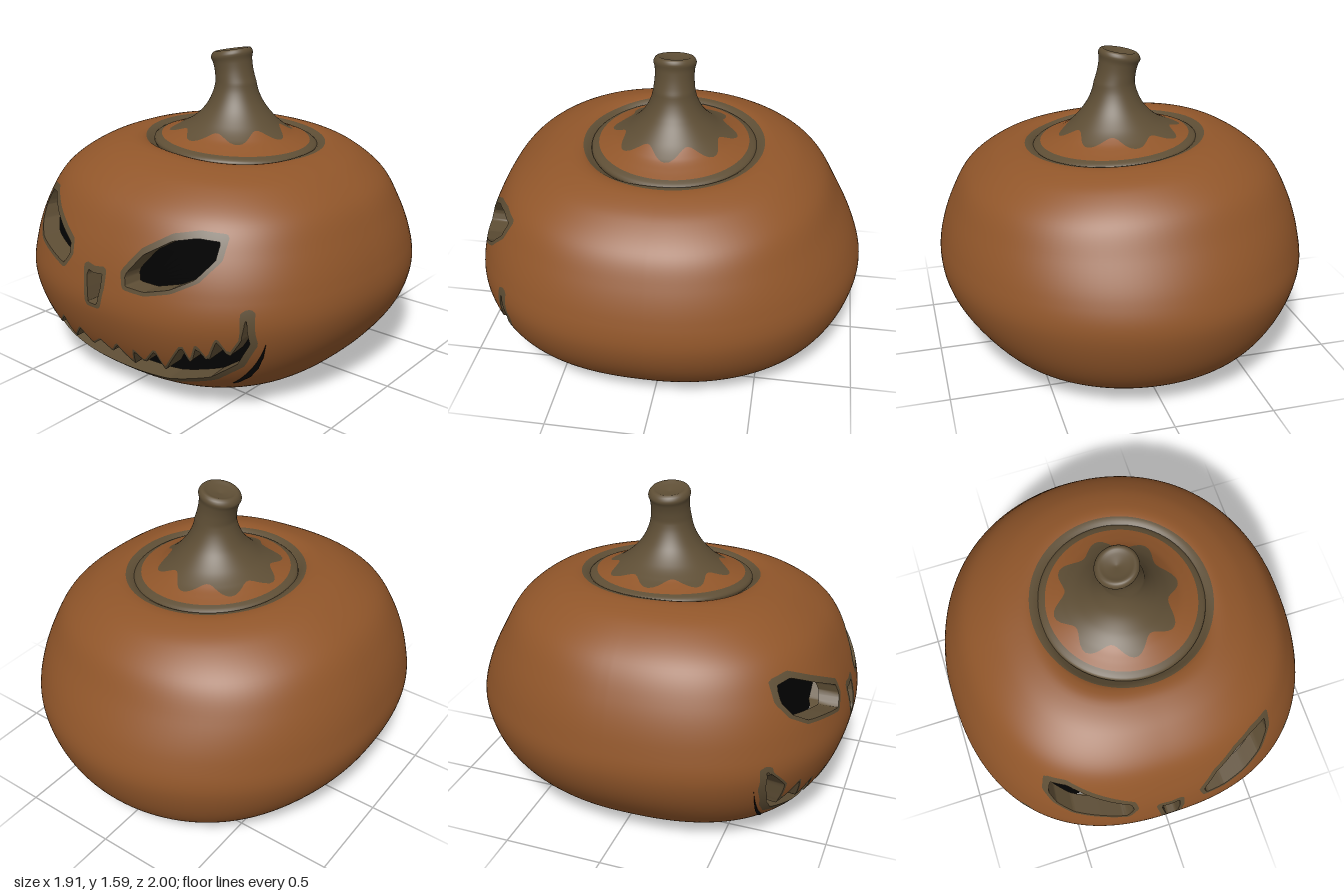
import * as THREE from 'three';
import { mergeVertices } from 'three/addons/utils/BufferGeometryUtils.js';

const material = (name, color) => {
  const m = new THREE.MeshStandardMaterial({ color });
  m.name = name;
  return m;
};

const clamp01 = v => Math.min(1, Math.max(0, v));
const bump = (y, centre, width) => Math.exp(-(((y - centre) / width) ** 2));

// Smooth lofted surface: fn(angle, row) gives a point, rows run from bottom to top
function loft(angles, rows, fn) {
  const pos = [], index = [], n = angles.length;
  for (const row of rows) for (const a of angles) pos.push(...fn(a, row));
  for (let j = 0; j < rows.length - 1; j++) {
    for (let i = 0; i < n - 1; i++) {
      const a = j * n + i, up = a + n;
      index.push(a, up, a + 1, a + 1, up, up + 1);
    }
  }
  let g = new THREE.BufferGeometry();
  g.setAttribute('position', new THREE.Float32BufferAttribute(pos, 3));
  g.setIndex(index);
  g = mergeVertices(g);
  g.computeVertexNormals();
  return g;
}

const steps = (from, to, count) =>
  Array.from({ length: count }, (_, i) => from + (to - from) * i / count);
const circle = (count) => [...steps(0, Math.PI * 2, count), Math.PI * 2];
const spline = (pts, count) =>
  new THREE.SplineCurve(pts.map(p => new THREE.Vector2(...p))).getSpacedPoints(count);

// Triangles as corner lists [x, y, z, nx, ny, nz]
function toTriangles(geometry) {
  const g = geometry.toNonIndexed(), p = g.attributes.position.array, n = g.attributes.normal.array;
  const tris = [];
  for (let i = 0; i < p.length; i += 9) {
    tris.push([0, 3, 6].map(k => [...p.slice(i + k, i + k + 3), ...n.slice(i + k, i + k + 3)]));
  }
  return tris;
}

function fromTriangles(tris) {
  const g = new THREE.BufferGeometry(), v = tris.flat();
  g.setAttribute('position', new THREE.Float32BufferAttribute(v.flatMap(c => c.slice(0, 3)), 3));
  g.setAttribute('normal', new THREE.Float32BufferAttribute(v.flatMap(c => c.slice(3)), 3));
  return g;
}

// Cut triangles along f = 0; cuts are the new edges of the outer side
function split(tris, f) {
  const outer = [], inner = [], cuts = [];
  const fan = (poly, out) => {
    for (let i = 1; i < poly.length - 1; i++) out.push([poly[0], poly[i], poly[i + 1]]);
  };
  for (const t of tris) {
    const d = t.map(f), pos = [], neg = [];
    let exit = null, enter = null;
    for (let i = 0; i < 3; i++) {
      const k = (i + 1) % 3, isOut = d[i] >= 0;
      (isOut ? pos : neg).push(t[i]);
      if (isOut !== (d[k] >= 0)) {
        const s = d[i] / (d[i] - d[k]);
        const m = t[i].map((v, c) => v + (t[k][c] - v) * s);
        pos.push(m);
        neg.push(m);
        if (isOut) exit = m; else enter = m;
      }
    }
    fan(pos, outer);
    fan(neg, inner);
    if (exit) cuts.push([exit, enter]);
  }
  return { outer, inner, cuts };
}

// Distance to a line of points; negative inside when it is closed
function distance(x, y, pts, closed) {
  let best = 9, inside = false;
  for (let i = closed ? 0 : 1; i < pts.length; i++) {
    const [ax, ay] = pts[(i + pts.length - 1) % pts.length], [bx, by] = pts[i];
    const dx = bx - ax, dy = by - ay;
    const s = clamp01(((x - ax) * dx + (y - ay) * dy) / (dx * dx + dy * dy));
    best = Math.min(best, Math.hypot(x - ax - dx * s, y - ay - dy * s));
    if ((ay > y) !== (by > y) && x < ax + (y - ay) * dx / dy) inside = !inside;
  }
  return closed && inside ? -best : best;
}

// Outlines of the carved face
const rightEye = [[-.58, .895], [-.505, .905], [-.4, .845], [-.22, .75], [-.21, .7], [-.25, .645],
  [-.38, .675], [-.505, .7], [-.575, .755], [-.6, .82]];
const leftEye = [[.165, .69], [.24, .79], [.36, .865], [.46, .885], [.55, .875], [.555, .8],
  [.5, .72], [.4, .665], [.28, .635], [.18, .64]];
const nose = [[-.07, .665], [-.02, .655], [.03, .665], [.03, .6], [.01, .51], [-.045, .51], [-.055, .58]];
const lip = [[-.735, .53], [-.725, .43], [-.67, .315], [-.61, .245], [-.455, .2], [-.275, .15], [0, .135],
  [.29, .15], [.52, .22], [.65, .315], [.715, .43], [.71, .575]];
const teeth = [[.69, .45], [.635, .36], [.605, .45], [.55, .325], [.52, .41], [.475, .3], [.455, .4],
  [.33, .23], [.315, .345], [.23, .25], [.19, .31], [.15, .21], [.085, .31], [.03, .25], [-.03, .3],
  [-.11, .245], [-.17, .32], [-.28, .215], [-.3, .34], [-.42, .24], [-.45, .35], [-.49, .25],
  [-.555, .39], [-.61, .275], [-.64, .41]];
const mouth = [...lip, ...teeth];

const isFace = (x, y, z) => z > 0.3 && y > 0.08 && y < 1;
const holeField = ([x, y, z]) => isFace(x, y, z)
  ? Math.min(...[rightEye, leftEye, nose, mouth].map(h => distance(x, y, h, true))) : 1;
const rimField = ([x, y, z]) => {
  if (y > 1) return Math.hypot(x - 0.03, z) - 0.465;
  if (!isFace(x, y, z)) return 1;
  return Math.min(...[rightEye, leftEye, nose].map(h => distance(x, y - 0.007, h, true) - 0.025),
    distance(x, y, lip, false) - 0.024, distance(x, y, mouth, true) - 0.009);
};
const starField = ([x, y, z]) => Math.hypot(x, z) - 0.29 - 0.033 * Math.cos(8 * Math.atan2(z, x));

export function createModel() {
  const group = new THREE.Group();
  const orange = material('pumpkin orange', 0x91562a);
  const brown = material('stem brown', 0x5e4e35);
  const black = material('hollow black', 0x020202);
  const add = (name, geometry, mat) => {
    const mesh = new THREE.Mesh(geometry, mat);
    mesh.name = name;
    group.add(mesh);
  };

  // Squat body: fuller at the front, sloping at the back, tucked in low at the sides
  const profile = spline([[0, .05], [.3, .018], [.5, .006], [.67, .04], [.83, .13], [.94, .28], [1, .48],
    [.98, .65], [.92, .82], [.83, .97], [.68, 1.08], [.54, 1.13], [.46, 1.13], [.42, 1.105], [.38, 1.08]], 110);
  const columns = [...steps(0, Math.PI, 200), ...steps(Math.PI, 2 * Math.PI, 60), 2 * Math.PI];
  const bodyGeometry = loft(columns, profile, (a, p) => {
    const c = Math.cos(a), s = Math.sin(a), n = 2.43;
    const k = s > 0 ? (Math.abs(c) ** n + s ** n) ** (-1 / n) : 1;
    const top = clamp01((p.y - 0.6) / 0.5);
    const x = 0.955 * p.x * k * c * (1 - 0.065 * c * c * bump(p.y, 0.12, 0.19)) + 0.03 * top ** 3;
    const z = p.x * k * s * (1 - (s < 0 ? 0.055 * s * s * bump(p.y, 0.9, 0.25) : 0));
    return [x, p.y - 0.06 * x * top, z];
  });

  // Carve the holes, then separate the bare flesh around them and the lid
  const carved = split(toTriangles(bodyGeometry), holeField);
  const skin = split(carved.outer, rimField);
  add('body', fromTriangles(skin.outer), orange);
  add('carvedRims', fromTriangles(skin.inner), brown);

  // Cut thickness around every hole, running straight back
  const inward = v => [v[0] - v[3] * 0.015, v[1] - v[4] * 0.01, v[2] - 0.1];
  const wallPoints = carved.cuts.flatMap(([a, b]) => {
    const a2 = inward(a), b2 = inward(b), a1 = a.slice(0, 3), b1 = b.slice(0, 3);
    return [...a2, ...b2, ...b1, ...a2, ...b1, ...a1];
  });
  let walls = new THREE.BufferGeometry();
  walls.setAttribute('position', new THREE.Float32BufferAttribute(wallPoints, 3));
  walls = mergeVertices(walls);
  walls.computeVertexNormals();
  add('holeWalls', walls, brown);

  // Dark hollow behind the face: upright behind the mouth, leaning back behind the eyes
  const hollow = loft(circle(48), [1, 0.8, 0.6, 0.4, 0.2, 0], (a, size) => {
    const c = Math.cos(a), s = Math.sin(a);
    const k = size * (Math.abs(c) ** 3 + Math.abs(s) ** 3) ** (-1 / 3);
    const y = 0.535 + 0.445 * k * s;
    return [0.765 * k * c, y, Math.min(0.685, 0.71 - 0.2 * (y - 0.3))];
  });
  hollow.index.array.reverse();
  hollow.computeVertexNormals();
  add('hollow', hollow, black);

  // Lid and stem in one sweep: tilted lid, concave flare, leaning stub with a dished end
  const lidPoint = (a, p) => {
    const x = 0.03 - 0.027 * clamp01((p.y - 1.42) / 0.12) + p.x * Math.cos(a);
    const slope = -0.06 * clamp01((1.3 - p.y) / 0.12) + 0.17 * clamp01((p.y - 1.45) / 0.1);
    return [x, p.y + x * slope, p.x * Math.sin(a)];
  };
  const edge = spline([[.41, 1.08], [.425, 1.11], [.415, 1.125], [.385, 1.138]], 8);
  add('lidEdge', loft(circle(96), edge, lidPoint), brown);
  const stemProfile = spline([[.385, 1.138], [.34, 1.155], [.285, 1.18], [.22, 1.225], [.155, 1.295], [.115, 1.375],
    [.1, 1.46], [.1, 1.52], [.107, 1.555], [.09, 1.58], [.06, 1.572], [0, 1.56]], 70);

  // The stem's eight-pointed foot spreads over the orange lid
  const lid = split(toTriangles(loft(circle(96), stemProfile, lidPoint)), starField);
  add('lid', fromTriangles(lid.outer), orange);
  add('stem', fromTriangles(lid.inner), brown);

  return group;
}
